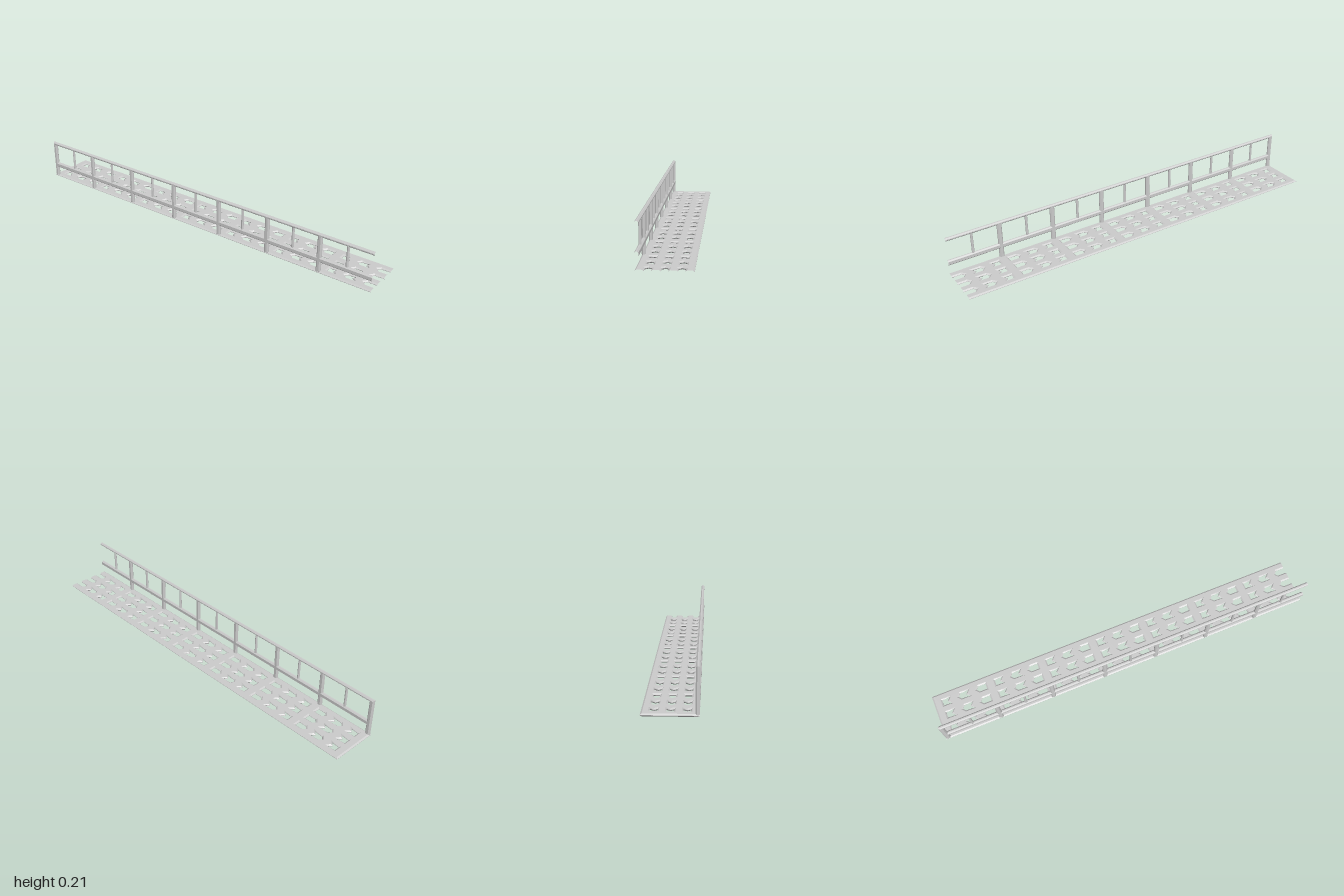
import * as THREE from 'three';

const PITCH = 2 / 7;      // spacing of posts and of hole groups
const BEYOND = 1.05;      // outlines overrun the open front end and are trimmed to z = 1
const V = (x, y) => new THREE.Vector2(x, y);

// Flat panel with chamfered outline and holes, centred on its thickness
function panel(outline, holes, thickness, flat, bevel) {
  const shape = new THREE.Shape(outline);
  holes.forEach((h) => shape.holes.push(new THREE.Path(h)));
  const g = new THREE.ExtrudeGeometry(shape, {
    depth: flat, bevelEnabled: true, bevelSegments: 1,
    bevelThickness: (thickness - flat) / 2, bevelSize: bevel,
  });
  return g.translate(0, 0, -flat / 2);
}

// Trim to z = 1 and leave that end open, so that segments can be joined
function openFront(geometry) {
  const p = geometry.attributes.position;
  const kept = [];
  for (let i = 0; i < p.count; i += 3) {
    const z = [0, 1, 2].map((k) => p.getZ(i + k));
    if (Math.min(...z) > 0.9999) continue;
    for (let k = 0; k < 3; k++) kept.push(p.getX(i + k), p.getY(i + k), Math.min(z[k], 1));
  }
  const g = new THREE.BufferGeometry();
  g.setAttribute('position', new THREE.Float32BufferAttribute(kept, 3));
  g.computeVertexNormals();
  return g;
}

// Walkway plate: drawn in x and -z, then laid flat
function walkwayGeometry() {
  const columns = [-0.0685, 0, 0.0685];
  const hw = 0.0215;
  // Each row: back shoulder, back point, front corner, front notch
  const rows = [
    [-0.963, -0.963, -0.905, -0.922],
    [-0.862, -0.88, -0.804, -0.822],
    [-0.764, -0.783, -0.714, -0.714],
  ];
  const holes = [];
  for (let group = 0; group < 7; group++) {
    rows.forEach((row, r) => {
      if (group === 6 && r === 2) return; // these are open notches in the outline
      const [shoulder, point, corner, notch] = row.map((z) => -(z + group * PITCH));
      columns.forEach((x) => {
        const pts = [V(x - hw, shoulder)];
        if (point !== shoulder) pts.push(V(x, point));
        pts.push(V(x + hw, shoulder), V(x + hw, corner));
        if (notch !== corner) pts.push(V(x, notch));
        pts.push(V(x - hw, corner));
        holes.push(pts);
      });
    });
  }
  const [shoulder, point] = rows[2].map((z) => -(z + 6 * PITCH));
  const outline = [V(-0.113, 0.993), V(-0.113, -BEYOND)];
  columns.forEach((x) => outline.push(
    V(x - hw, -BEYOND), V(x - hw, shoulder), V(x, point), V(x + hw, shoulder), V(x + hw, -BEYOND)));
  outline.push(V(0.113, -BEYOND), V(0.113, 0.993));
  const g = panel(outline, holes, 0.0125, 0.002, 0.007);
  return openFront(g.rotateX(-Math.PI / 2).translate(0, 0.00625, 0));
}

// Railing frame: drawn in -z and y, then turned to stand along the walkway
const TOP = 0.204, TOP_UNDER = 0.199, MID = 0.081, MID_UNDER = 0.066, FOOT = 0.012;
const POST = 0.006;
const postU = (i) => 0.987 - (6 - i) * PITCH; // 0 is the front post

function railingGeometry() {
  const first = postU(0) - POST;
  const outline = [
    V(-BEYOND, TOP), V(-BEYOND, TOP_UNDER), V(first, TOP_UNDER),
    V(first, MID), V(-BEYOND, MID), V(-BEYOND, MID_UNDER),
  ];
  const holes = [];
  for (let i = 0; i < 7; i++) {
    const u = postU(i);
    outline.push(V(u - POST, MID_UNDER), V(u - POST, FOOT), V(u + POST, FOOT));
    if (i < 6) {
      outline.push(V(u + POST, MID_UNDER));
      const a = u + POST, b = postU(i + 1) - POST;
      holes.push([V(a, MID), V(b, MID), V(b, TOP_UNDER), V(a, TOP_UNDER)]);
    }
  }
  outline.push(V(postU(6) + POST, TOP));
  const g = panel(outline, holes, 0.018, 0.006, 0.006);
  return openFront(g.rotateY(Math.PI / 2).translate(-0.112, 0, 0));
}

export function createModel() {
  const model = new THREE.Group();
  model.name = 'walkwayWithRailing';
  const material = new THREE.MeshStandardMaterial({ color: 0xcccccc, flatShading: true });
  const add = (name, geometry, parent = model) => {
    const mesh = new THREE.Mesh(geometry, material);
    mesh.name = name;
    parent.add(mesh);
    return mesh;
  };

  add('walkwayPlate', walkwayGeometry());
  add('railingFrame', railingGeometry());

  // Slim balusters halfway between the main posts
  const balusters = new THREE.Group();
  balusters.name = 'balusters';
  model.add(balusters);
  const bottom = MID + 0.005, top = TOP_UNDER - 0.005;
  const slim = new THREE.CylinderGeometry(0.0065, 0.0065, top - bottom, 8, 1, true).rotateY(Math.PI / 8);
  for (let i = 0; i < 7; i++) {
    add('baluster', slim, balusters).position.set(-0.112, (top + bottom) / 2, -(postU(i) - PITCH / 2));
  }
  return model;
}
